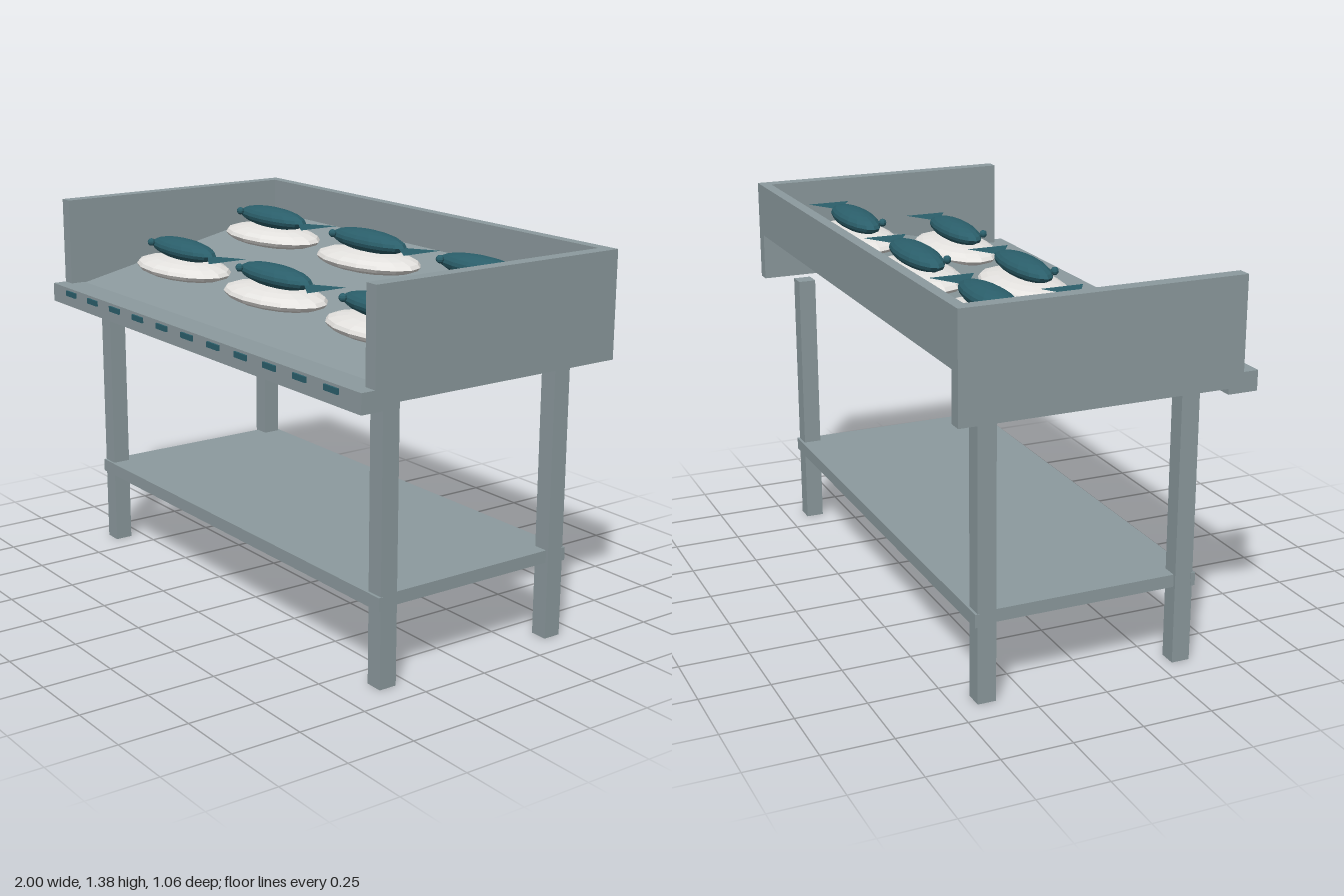
import * as THREE from 'three';

const material = (name, color, extra = {}) => {
  const m = new THREE.MeshStandardMaterial({ color, ...extra });
  m.name = name;
  return m;
};

export function createModel() {
  const metal = material('greyMetal', 0x8c9a9e);
  const ice = material('paleIce', 0xe6e4e1, { flatShading: true });
  const teal = material('darkTeal', 0x2b5f6b, { flatShading: true, side: THREE.DoubleSide });

  const model = new THREE.Group();
  model.name = 'fishStall';

  const add = (parent, name, geometry, mat, x = 0, y = 0, z = 0) => {
    const mesh = new THREE.Mesh(geometry, mat);
    mesh.name = name;
    mesh.position.set(x, y, z);
    parent.add(mesh);
    return mesh;
  };
  // Box given by its extents on each axis
  const box = (name, [x0, x1], [y0, y1], [z0, z1], mat = metal) =>
    add(model, name, new THREE.BoxGeometry(x1 - x0, y1 - y0, z1 - z0), mat,
      (x0 + x1) / 2, (y0 + y1) / 2, (z0 + z1) / 2);
  const ellipsoid = (rx, ry, rz, w = 16, h = 10) => new THREE.SphereGeometry(1, w, h).scale(rx, ry, rz);

  // Legs
  for (const x of [-0.873, 0.873])
    for (const z of [-0.3925, 0.3335])
      box('leg', [x - 0.0325, x + 0.0325], [0, 1], [z - 0.033, z + 0.033]);

  // Lower shelf, with long edges standing just proud of the legs
  box('shelf', [-0.895, 0.895], [0.28, 0.325], [-0.425, 0.366]);
  box('shelfFrontEdge', [-0.908, 0.908], [0.278, 0.325], [0.36, 0.376]);
  box('shelfBackEdge', [-0.908, 0.908], [0.278, 0.325], [-0.435, -0.42]);

  // Side, back and front panels of the display
  box('rightPanel', [-1, -0.95], [1, 1.375], [-0.53, 0.47]);
  box('leftPanel', [0.95, 1], [1, 1.375], [-0.53, 0.47]);
  box('backPanel', [-0.95, 0.95], [1.175, 1.375], [-0.53, -0.49]);
  box('frontRail', [-1, 1], [0.98, 1.05], [0.415, 0.523]);

  // Sloping tray, higher at the back
  const slope = Math.atan2(1.24 - 1.035, 0.96);
  const tray = add(model, 'tray',
    new THREE.BoxGeometry(1.9, 0.035, 0.96 / Math.cos(slope)).translate(0, -0.0175, 0),
    metal, 0, 1.1375, -0.01);
  tray.rotation.x = slope;

  // Slots along the front rail
  for (let i = -5; i <= 5; i++)
    box('slot', [i * 0.17 - 0.036, i * 0.17 + 0.036], [1.02, 1.04], [0.521, 0.53], teal);

  // Flat triangular tail, widening away from the body
  const tailShape = new THREE.Shape([
    new THREE.Vector2(0.175, 0),
    new THREE.Vector2(0.313, -0.083),
    new THREE.Vector2(0.313, 0.083),
  ]);
  const tailGeo = new THREE.ShapeGeometry(tailShape).rotateX(-Math.PI / 2);
  const iceGeo = ellipsoid(0.26, 0.04, 0.141);
  const bodyGeo = ellipsoid(0.21, 0.04, 0.066);
  const eyeGeo = new THREE.SphereGeometry(0.015, 8, 6);

  // Two rows of three fish, each on a mound of ice
  for (const [y, z] of [[1.13, 0.156], [1.213, -0.258]]) {
    for (const x of [-0.627, 0, 0.627]) {
      const fish = new THREE.Group();
      fish.name = 'fishOnIce';
      fish.position.set(x, y, z);
      add(fish, 'iceMound', iceGeo, ice);
      add(fish, 'fishBody', bodyGeo, teal, 0, 0.071, -0.002);
      add(fish, 'fishTail', tailGeo, teal, 0, 0.071, -0.002);
      add(fish, 'fishEye', eyeGeo, teal, -0.15, 0.082, 0.052);
      model.add(fish);
    }
  }
  return model;
}
